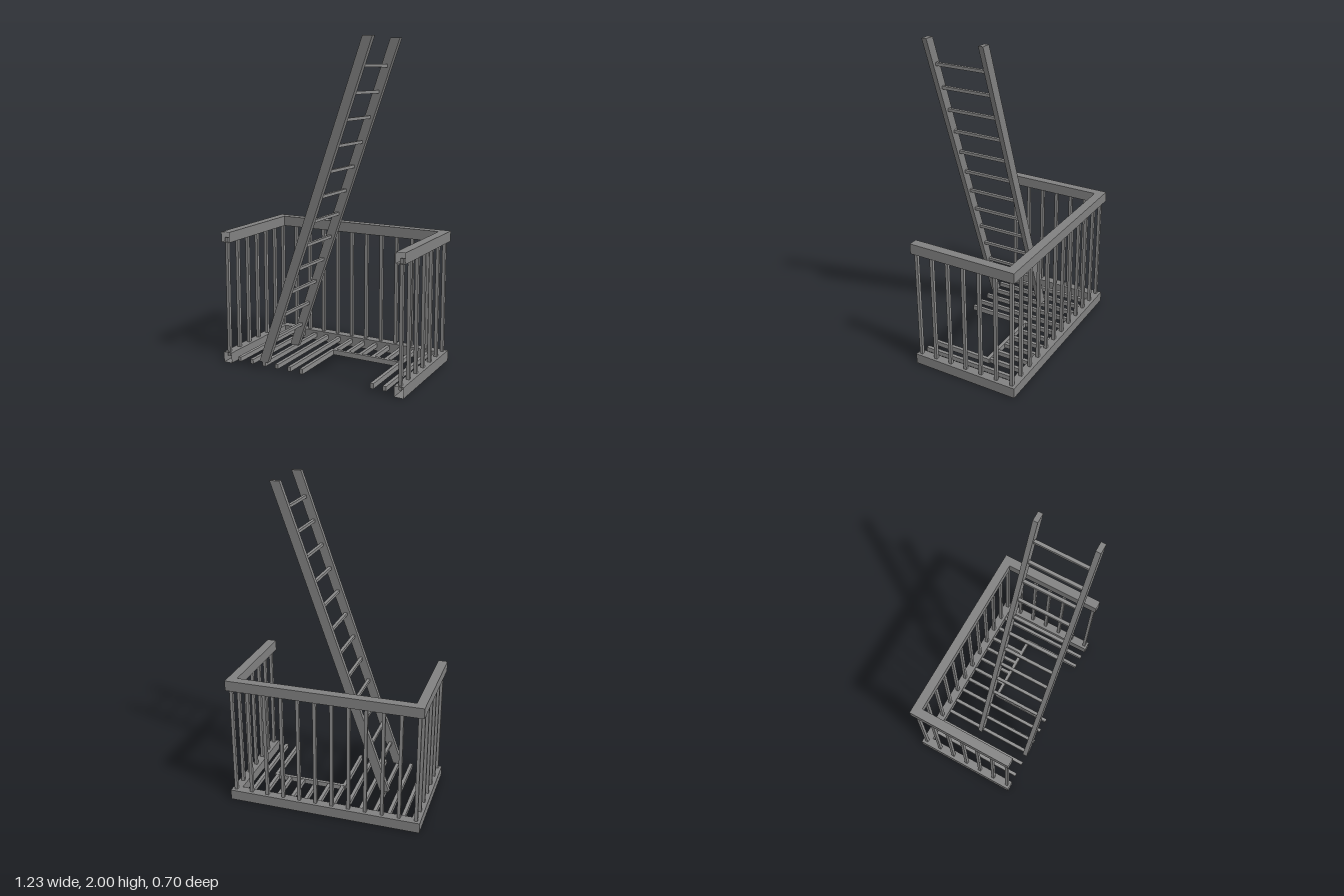
import * as THREE from 'three';

const makeSteel = (color) => new THREE.MeshStandardMaterial({ color, flatShading: true, side: THREE.DoubleSide });
const frameSteel = makeSteel(0x808080); // rails and stiles
const barSteel = makeSteel(0x8a8a8a); // thin bars

// Adds a box given by its min and max corners
function bar(parent, name, [x0, y0, z0], [x1, y1, z1], material = barSteel) {
  const mesh = new THREE.Mesh(new THREE.BoxGeometry(x1 - x0, y1 - y0, z1 - z0), material);
  mesh.position.set((x0 + x1) / 2, (y0 + y1) / 2, (z0 + z1) / 2);
  mesh.name = name;
  parent.add(mesh);
  return mesh;
}

// Hollow U-shaped rail: a square section swept along left, back and right, open at the front ends
function rail(name, y0, y1) {
  const t = 0.058, X = 0.616, back = -0.348, front = 0.348;
  const stations = [[-1, front, front], [-1, back, back + t], [1, back, back + t], [1, front, front]];
  const pos = [], idx = [];
  for (const [s, zOut, zIn] of stations) {
    const xo = s * X, xi = s * (X - t);
    pos.push(xo, y0, zOut, xo, y1, zOut, xi, y1, zIn, xi, y0, zIn);
  }
  for (let i = 0; i < 3; i++) {
    for (let k = 0; k < 4; k++) {
      const a = i * 4 + k, b = i * 4 + (k + 1) % 4;
      idx.push(a, b, a + 4, b, b + 4, a + 4);
    }
  }
  const geo = new THREE.BufferGeometry();
  geo.setAttribute('position', new THREE.Float32BufferAttribute(pos, 3));
  geo.setIndex(idx);
  const flat = geo.toNonIndexed();
  flat.computeVertexNormals();
  const mesh = new THREE.Mesh(flat, frameSteel);
  mesh.name = name;
  return mesh;
}

export function createModel() {
  const model = new THREE.Group();
  model.name = 'fireEscapeBalcony';

  model.add(rail('bottomRail', 0, 0.066), rail('topRail', 0.772, 0.837));

  // Balusters along the back and both sides
  const balusters = new THREE.Group();
  balusters.name = 'balusters';
  const post = (x, z) => bar(balusters, 'baluster', [x - 0.01, 0.04, z - 0.01], [x + 0.01, 0.8, z + 0.01]);
  const step = 1.176 / 11;
  for (let i = 0; i < 12; i++) post(-0.588 + i * step, -0.318);
  for (const side of [-1, 1]) {
    for (let i = 1; i < 7; i++) post(side * 0.588, -0.318 + i * step);
  }
  model.add(balusters);

  // Floor slats, cut short where the hatch is
  const floor = new THREE.Group();
  floor.name = 'floor';
  for (let i = 0; i < 12; i++) {
    const x = -0.498 + i * 0.0905;
    const end = i >= 5 && i <= 10 ? -0.05 : 0.346;
    bar(floor, 'floorSlat', [x - 0.011, 0.023, -0.3], [x + 0.011, 0.051, end]);
  }
  // Hatch frame
  bar(floor, 'hatchBack', [-0.063, 0.021, -0.063], [0.428, 0.053, -0.042]);
  bar(floor, 'hatchRight', [-0.063, 0.021, -0.042], [-0.042, 0.053, 0.346]);
  bar(floor, 'hatchLeft', [0.407, 0.021, -0.042], [0.428, 0.053, 0.346]);
  model.add(floor);

  // Leaning ladder: stiles are sheared so that their ends stay level
  const ladder = new THREE.Group();
  ladder.name = 'ladder';
  const slope = 0.694 / 1.95;
  const lineX = (y) => -0.318 + (y - 0.05) * slope;
  for (const [z0, z1] of [[-0.043, -0.013], [0.317, 0.348]]) {
    const stile = bar(ladder, 'stile', [-0.0305, 0.05, z0], [0.0305, 2, z1], frameSteel);
    stile.geometry.applyMatrix4(new THREE.Matrix4().makeShear(0, 0, slope, 0, 0, 0));
    stile.position.x = lineX(1.025);
  }
  // Square rungs, set level
  for (let i = 0; i < 12; i++) {
    const y = 0.2 + i * 0.1492, x = lineX(y);
    bar(ladder, 'rung', [x - 0.01, y - 0.009, -0.02], [x + 0.01, y + 0.009, 0.325]);
  }
  model.add(ladder);

  return model;
}
